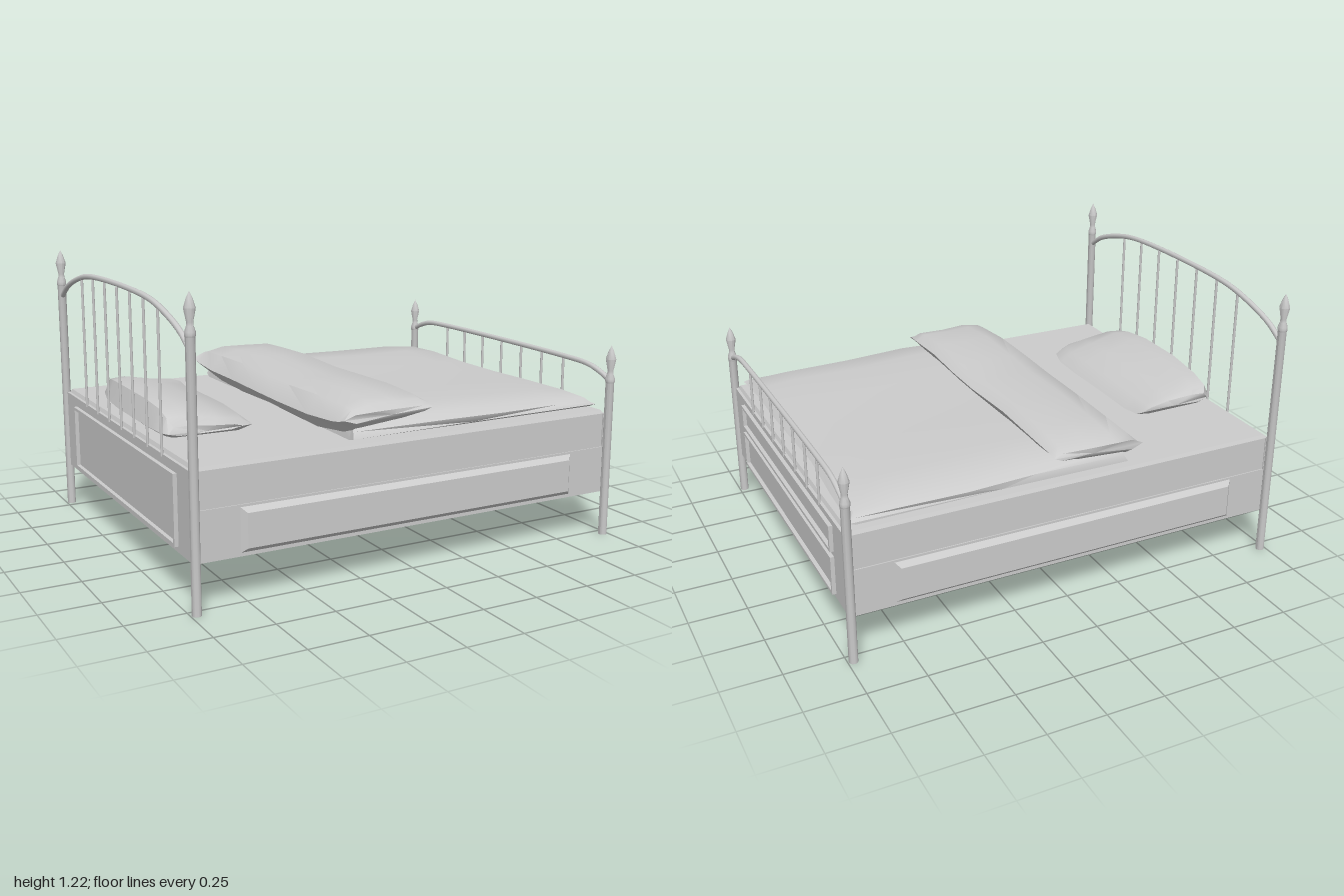
import * as THREE from 'three';
import { toCreasedNormals } from 'three/addons/utils/BufferGeometryUtils.js';

const grey = new THREE.MeshStandardMaterial({ color: 0xcccccc });

function add(parent, name, geometry, x = 0, y = 0, z = 0) {
  const mesh = new THREE.Mesh(geometry, grey);
  mesh.name = name;
  mesh.position.set(x, y, z);
  parent.add(mesh);
  return mesh;
}

// Round post with a spearhead finial
function postGeometry(top) {
  const profile = [
    [0, 0], [0.019, 0], [0.019, top - 0.165], [0.021, top - 0.16], [0.021, top - 0.145],
    [0.014, top - 0.125], [0.013, top - 0.11], [0.023, top - 0.06], [0.012, top - 0.025], [0, top],
  ].map(([r, y]) => new THREE.Vector2(r, y));
  return toCreasedNormals(new THREE.LatheGeometry(profile, 10), 0.7);
}

// Arched rail across the bed, mirrored from one half, with spindles below
function railing(name, x, half) {
  const group = new THREE.Group();
  group.name = name;
  const path = [
    ...half.map(([z, y]) => new THREE.Vector3(0, y, -z)),
    ...[...half].reverse().map(([z, y]) => new THREE.Vector3(0, y, z)),
  ];
  add(group, 'archedRail', new THREE.TubeGeometry(new THREE.CatmullRomCurve3(path), 40, 0.012, 8));
  const top = half[half.length - 1][1] - 0.005;
  for (let i = -3; i <= 3; i++) {
    const h = (Math.abs(i) === 3 ? top - half[half.length - 1][2] : top) - 0.54;
    add(group, 'spindle', new THREE.CylinderGeometry(0.006, 0.006, h, 8), 0, 0.54 + h / 2, i * 0.157);
  }
  group.position.x = x;
  return group;
}

// Raised panel with sloping edges, facing +z
function raisedPanel(w, h, depth, slope) {
  const g = new THREE.BoxGeometry(w, h, depth).toNonIndexed();
  const p = g.attributes.position;
  for (let i = 0; i < p.count; i++) {
    if (p.getZ(i) > 0) {
      p.setX(i, p.getX(i) - Math.sign(p.getX(i)) * slope);
      p.setY(i, p.getY(i) - Math.sign(p.getY(i)) * slope);
    }
  }
  g.computeVertexNormals();
  return g;
}

// Rectangular moulding, facing +z
function mouldingGeometry(w, h, t, depth) {
  const rect = (Type, a, b) => new Type([[-a, -b], [a, -b], [a, b], [-a, b]].map(([x, y]) => new THREE.Vector2(x, y)));
  const shape = rect(THREE.Shape, w / 2, h / 2);
  shape.holes.push(rect(THREE.Path, w / 2 - t, h / 2 - t));
  return new THREE.ExtrudeGeometry(shape, { depth, bevelEnabled: false });
}

// Soft form lofted along z: a counter-clockwise (x, y) ring is placed at stations
// [z, x scale, y scale, x shift, y shift], scaled about the pivot
function softForm(ring, pivot, stations) {
  const n = ring.length, pos = [], index = [];
  stations.forEach(([z, sx, sy, dx = 0, dy = 0], i) => {
    ring.forEach(([x, y], j) => pos.push(
      pivot[0] + (x - pivot[0]) * sx + dx,
      pivot[1] + (y - pivot[1]) * sy + dy,
      z + 0.008 * Math.sin(j * 1.9 + i)));
    if (i === 0) return;
    for (let j = 0; j < n; j++) {
      const a = (i - 1) * n + j, b = (i - 1) * n + (j + 1) % n;
      index.push(a, b, b + n, a, b + n, a + n);
    }
  });
  // Close both ends with a fan
  [0, stations.length - 1].forEach((s, end) => {
    const [z, , , dx = 0, dy = 0] = stations[s];
    const c = pos.length / 3;
    pos.push(pivot[0] + dx, pivot[1] + dy, z);
    for (let j = 0; j < n; j++) {
      const a = s * n + j, b = s * n + (j + 1) % n;
      if (end) index.push(c, a, b); else index.push(c, b, a);
    }
  });
  const g = new THREE.BufferGeometry();
  g.setAttribute('position', new THREE.Float32BufferAttribute(pos, 3));
  g.setIndex(index);
  return toCreasedNormals(g, 0.7);
}

export function createModel() {
  const bed = new THREE.Group();
  bed.name = 'bed';

  // Base and mattress
  add(bed, 'bedBase', new THREE.BoxGeometry(1.94, 0.205, 1.55), 0, 0.2975, 0);
  add(bed, 'mattress', new THREE.BoxGeometry(1.93, 0.15, 1.54), 0, 0.475, 0);
  const mattressTop = raisedPanel(1.93, 1.54, 0.015, 0.008);
  mattressTop.rotateX(-Math.PI / 2);
  add(bed, 'mattressTop', mattressTop, 0, 0.5575, 0);

  // Side panels, front and back
  for (const s of [1, -1]) {
    const panel = add(bed, 'sidePanel', raisedPanel(1.57, 0.18, 0.022, 0.02), 0, 0.3, s * 0.786);
    if (s < 0) panel.rotation.y = Math.PI;
  }

  // End boards with mouldings
  for (const s of [1, -1]) {
    add(bed, s > 0 ? 'footBoard' : 'headBoard', new THREE.BoxGeometry(0.016, 0.355, 1.55), s * 0.97, 0.3725, 0);
    const panels = s > 0 ? [[0.3, 0.17], [0.467, 0.115]] : [[0.365, 0.29]];
    for (const [y, h] of panels) {
      const m = add(bed, 'endMoulding', mouldingGeometry(1.25, h, 0.013, 0.018), s * 0.977, y, 0);
      m.rotation.y = s * Math.PI / 2;
    }
  }

  // Four posts
  for (const z of [0.79, -0.79]) {
    add(bed, 'headPost', postGeometry(1.22), -0.977, 0, z);
    add(bed, 'footPost', postGeometry(0.855), 0.977, 0, z);
  }

  // Railings: [z, y] from post to middle, last entry adds the drop at the outer spindles
  bed.add(railing('headRailing', -0.977, [[0.78, 1.01], [0.7, 1.06], [0.53, 1.115], [0.35, 1.145, 0.02]]));
  bed.add(railing('footRailing', 0.977, [[0.78, 0.705], [0.72, 0.73], [0.64, 0.75], [0.5, 0.757, 0]]));

  // Pillow
  add(bed, 'pillow', softForm(
    [[-0.9, 0.566], [-0.6, 0.566], [-0.525, 0.59], [-0.58, 0.64], [-0.7, 0.67], [-0.85, 0.705], [-0.925, 0.7], [-0.96, 0.61]],
    [-0.74, 0.585],
    [[-0.435, 0.8, 0.3, 0.03, 0.035], [-0.4, 0.9, 0.65, 0.02, 0.015], [-0.3, 0.95, 0.9, 0.01], [-0.1, 0.99, 1],
      [0.15, 1, 1], [0.3, 0.97, 0.88], [0.39, 0.92, 0.6, -0.01, 0.01], [0.43, 0.75, 0.25, -0.03, 0.02]],
  ));

  // Blanket
  add(bed, 'blanket', softForm(
    [[-0.28, 0.566], [0.3, 0.566], [0.92, 0.566], [0.945, 0.59], [0.92, 0.62], [0.75, 0.636], [0.45, 0.64], [0.15, 0.65], [-0.26, 0.64]],
    [0.3, 0.576],
    [[-0.745, 1, 0.4, 0.005, 0.008], [-0.715, 1, 0.85], [-0.5, 0.99, 1.05], [-0.2, 0.95, 0.98, 0.005], [0.05, 0.97, 0.92],
      [0.3, 0.98, 1], [0.55, 0.98, 1.05], [0.69, 0.99, 0.85], [0.735, 1, 0.35, 0, 0.008]],
  ));

  // Turned-down fold of the blanket
  add(bed, 'blanketFold', softForm(
    [[-0.29, 0.57], [-0.05, 0.6], [0.06, 0.64], [0.095, 0.69], [0.05, 0.722], [-0.08, 0.725], [-0.2, 0.73], [-0.29, 0.705], [-0.345, 0.63]],
    [-0.1, 0.645],
    [[-0.765, 0.95, 0.3, 0, 0.02], [-0.72, 0.96, 0.65, 0, 0.01], [-0.55, 0.95, 0.9], [-0.3, 0.94, 1.0], [0, 0.99, 0.85],
      [0.2, 1, 0.9], [0.45, 0.97, 1], [0.64, 0.95, 0.8, 0.01, 0.005], [0.7, 0.94, 0.6, 0.01, 0.01], [0.735, 0.92, 0.25, 0.01, 0.015]],
  ));

  return bed;
}
